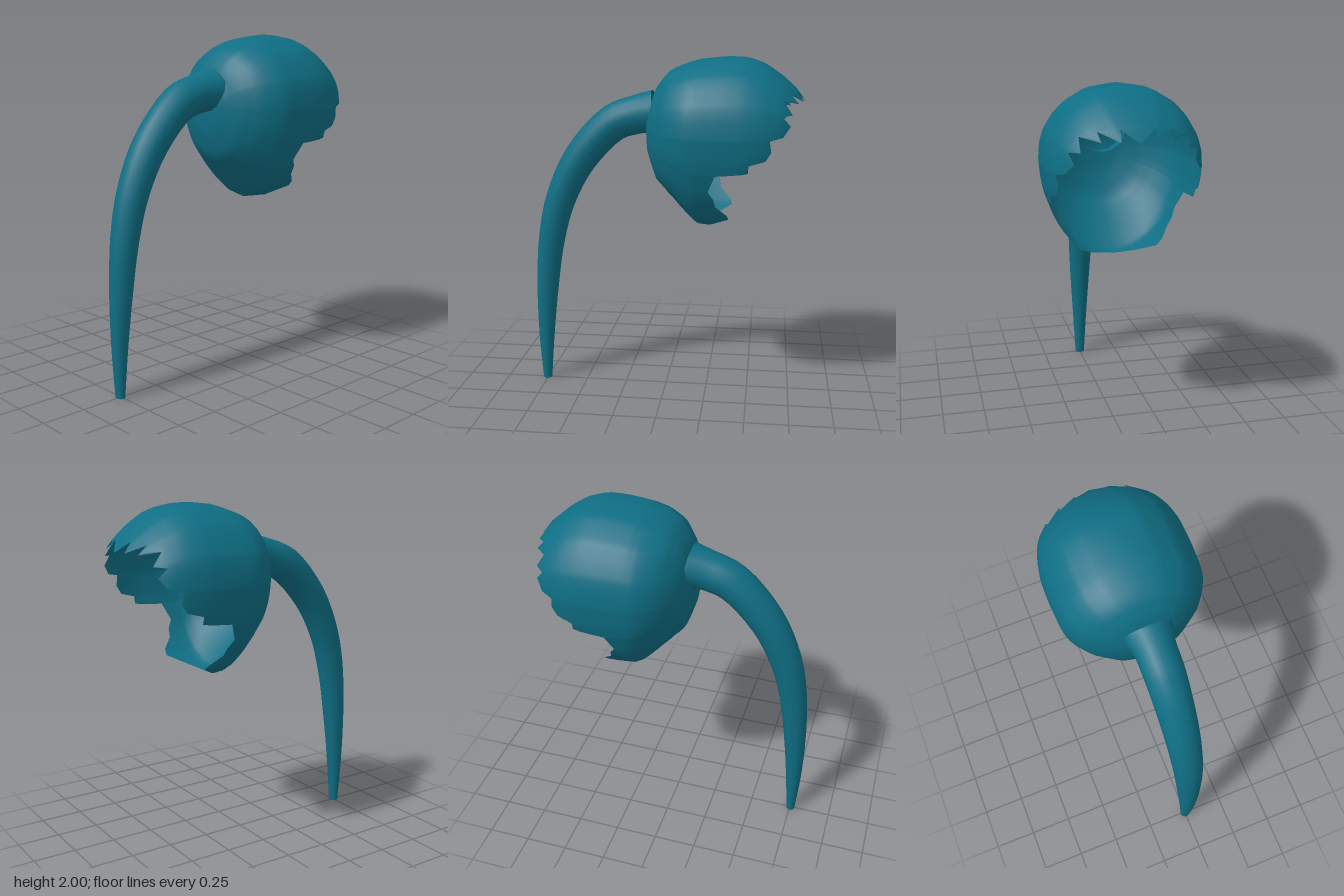
import * as THREE from 'three';

const teal = new THREE.MeshStandardMaterial({ color: 0x0f6e84, side: THREE.DoubleSide });
teal.name = 'teal';

// Smooth surface of rows x cols points, closed around the columns.
function loftedGeometry(rows, cols, pointAt) {
  const positions = [], index = [];
  for (let r = 0; r < rows; r++) {
    for (let c = 0; c < cols; c++) {
      positions.push(...pointAt(r, c));
      if (r === rows - 1) continue;
      const a = r * cols + c, b = r * cols + (c + 1) % cols;
      index.push(a, b, a + cols, b, b + cols, a + cols);
    }
  }
  const geometry = new THREE.BufferGeometry();
  geometry.setAttribute('position', new THREE.Float32BufferAttribute(positions, 3));
  geometry.setIndex(index);
  geometry.computeVertexNormals();
  return geometry;
}

// Rounded cap: elliptical sections along z, cut off at a ragged rim.
function createCap() {
  const centreY = 1.6;
  // z, half width, top, bottom
  const sections = [
    [0.115, 0, 1.6, 1.6], [0.1, 0.12, 1.7, 1.43], [0.05, 0.235, 1.83, 1.29],
    [-0.02, 0.33, 1.915, 1.215], [-0.13, 0.4, 1.965, 1.095], [-0.2, 0.413, 1.985, 1.03],
    [-0.35, 0.42, 2, 1.02], [-0.45, 0.418, 1.998, 1.03], [-0.56, 0.4, 1.965, 1.1],
    [-0.66, 0.36, 1.9, 1.2], [-0.74, 0.29, 1.83, 1.3], [-0.8, 0.2, 1.75, 1.4],
  ];
  const shape = new THREE.CatmullRomCurve3(sections.map(s => new THREE.Vector3(s[1], s[2], s[3])));
  // Half of the rim from the crown to the nape: angle, z
  const halfRim = [
    [0, -0.8], [0.32, -0.745], [0.43, -0.785], [0.67, -0.708], [0.76, -0.755],
    [0.93, -0.67], [1.15, -0.72], [1.24, -0.665], [1.4, -0.71], [1.6, -0.67],
    [1.63, -0.6], [1.77, -0.61], [1.86, -0.58], [1.87, -0.49], [1.95, -0.49],
    [1.956, -0.38], [1.965, -0.31], [2.15, -0.27], [2.25, -0.3], [2.36, -0.31],
    [2.51, -0.37], [2.61, -0.38], [2.85, -0.27], [Math.PI, -0.23],
  ];
  const rim = [
    ...halfRim,
    ...halfRim.slice(1, -1).reverse().map(([a, z]) => [2 * Math.PI - a, z]),
  ];
  const steps = 3, last = sections.length - 1;
  return loftedGeometry(last * steps + 1, rim.length, (r, c) => {
    const [angle, rimZ] = rim[c];
    let k = Math.min(Math.floor(r / steps), last - 1);
    let f = r / steps - k;
    let z = THREE.MathUtils.lerp(sections[k][0], sections[k + 1][0], f);
    if (z < rimZ) {
      z = rimZ;
      k = sections.findIndex(s => s[0] <= z) - 1;
      f = (sections[k][0] - z) / (sections[k][0] - sections[k + 1][0]);
    }
    const s = shape.getPoint((k + f) / last);
    const height = Math.cos(angle) > 0 ? s.y - centreY : centreY - s.z;
    return [s.x * Math.sin(angle), centreY + height * Math.cos(angle), z];
  });
}

// Tapered tail swept from its tip up into the front of the cap.
function createTail() {
  // y, z, half thickness, half width
  const stations = [
    [0, 0.755, 0.026, 0.03], [0.28, 0.752, 0.047, 0.046], [0.6, 0.735, 0.066, 0.066],
    [0.91, 0.7, 0.08, 0.082], [1.155, 0.638, 0.09, 0.092], [1.4, 0.515, 0.1, 0.102],
    [1.615, 0.31, 0.108, 0.112], [1.665, 0.17, 0.113, 0.115], [1.685, 0.06, 0.125, 0.14],
  ];
  const path = new THREE.CatmullRomCurve3(stations.map(s => new THREE.Vector3(0, s[0], s[1])));
  const size = new THREE.CatmullRomCurve3(stations.map(s => new THREE.Vector3(s[2], s[3], 0)));
  const rings = 32, sides = 16, side = new THREE.Vector3(1, 0, 0);
  // Row 0 closes the tip; row 1 repeats its edge to keep it crisp.
  return loftedGeometry(rings + 3, sides, (r, c) => {
    const t = Math.max(0, r - 2) / rings;
    const angle = c / sides * 2 * Math.PI;
    const centre = path.getPoint(t), s = size.getPoint(t);
    const normal = new THREE.Vector3().crossVectors(side, path.getTangent(t)).normalize();
    if (t === 0) normal.set(0, 0, 1);
    const scale = r === 0 ? 0 : 1;
    centre.addScaledVector(side, scale * s.y * Math.sin(angle));
    centre.addScaledVector(normal, scale * s.x * Math.cos(angle));
    return centre.toArray();
  });
}

export function createModel() {
  const group = new THREE.Group();
  group.name = 'ponytailHair';
  const parts = { hairCap: createCap(), ponytail: createTail() };
  for (const [name, geometry] of Object.entries(parts)) {
    const mesh = new THREE.Mesh(geometry, teal);
    mesh.name = name;
    group.add(mesh);
  }
  return group;
}
